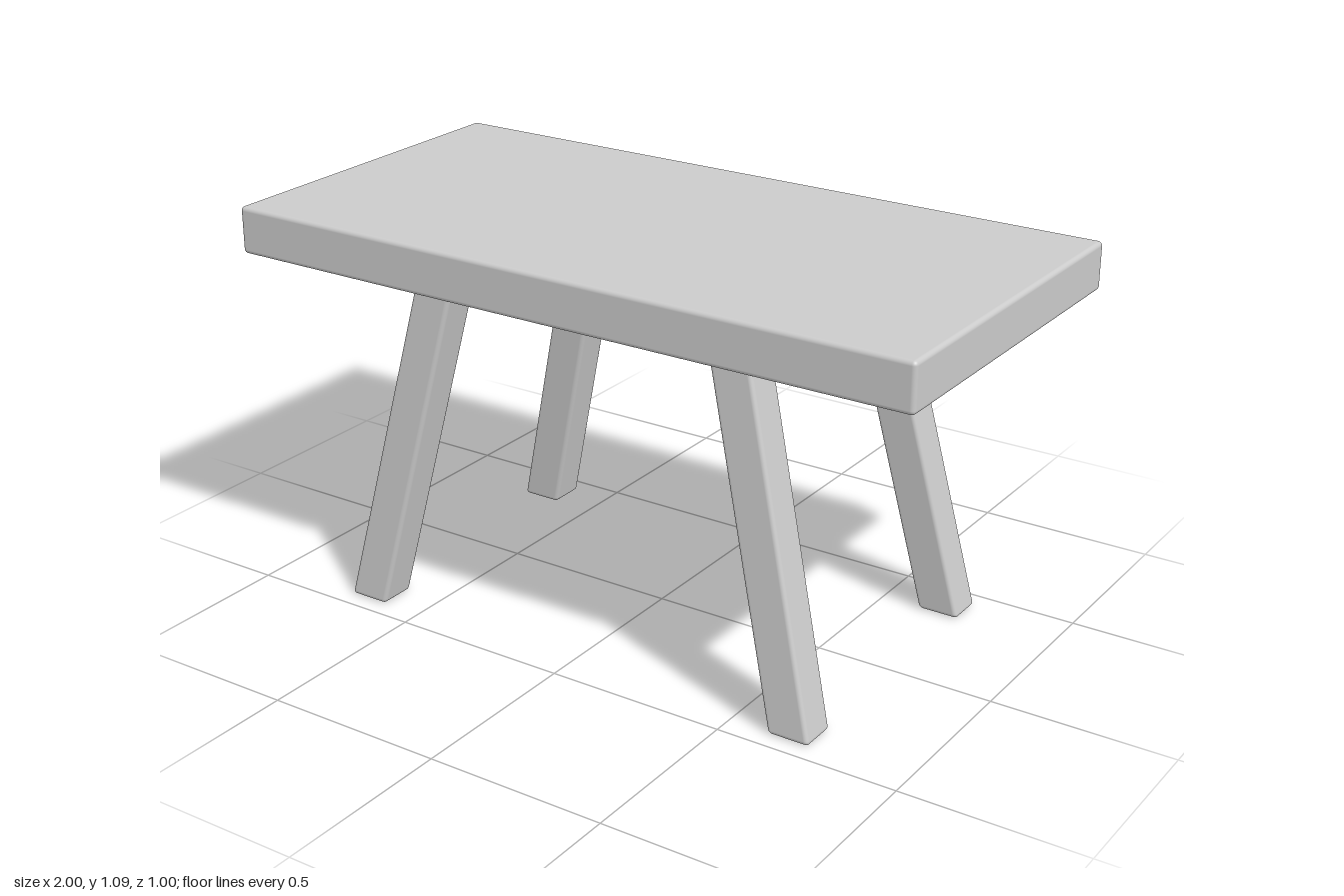
import * as THREE from 'three';
import { RoundedBoxGeometry } from 'three/addons/geometries/RoundedBoxGeometry.js';

const material = new THREE.MeshStandardMaterial({ color: 0xcccccc });

// Square leg, sheared so that it splays outward while its foot stays level
function makeLeg(sx, sz) {
  const height = 0.98; // the last bit is sunk into the top
  const geometry = new RoundedBoxGeometry(0.117, height, 0.107, 3, 0.012);
  geometry.translate(0, height / 2, 0);
  const slopeX = -0.239 * sx;
  const slopeZ = -0.066 * sz;
  geometry.applyMatrix4(new THREE.Matrix4().set(
    1, slopeX, 0, 0.672 * sx,
    0, 1, 0, 0,
    0, slopeZ, 1, 0.397 * sz,
    0, 0, 0, 1
  ));
  const leg = new THREE.Mesh(geometry, material);
  leg.name = (sz > 0 ? 'front' : 'back') + (sx > 0 ? 'Left' : 'Right') + 'Leg';
  return leg;
}

export function createModel() {
  const table = new THREE.Group();
  table.name = 'table';

  // Thick slab with softened edges
  const top = new THREE.Mesh(new RoundedBoxGeometry(2, 0.13, 1, 3, 0.012), material);
  top.name = 'tableTop';
  top.position.y = 1.02;
  table.add(top);

  // Four splayed legs
  for (const sx of [-1, 1]) {
    for (const sz of [-1, 1]) table.add(makeLeg(sx, sz));
  }
  return table;
}
